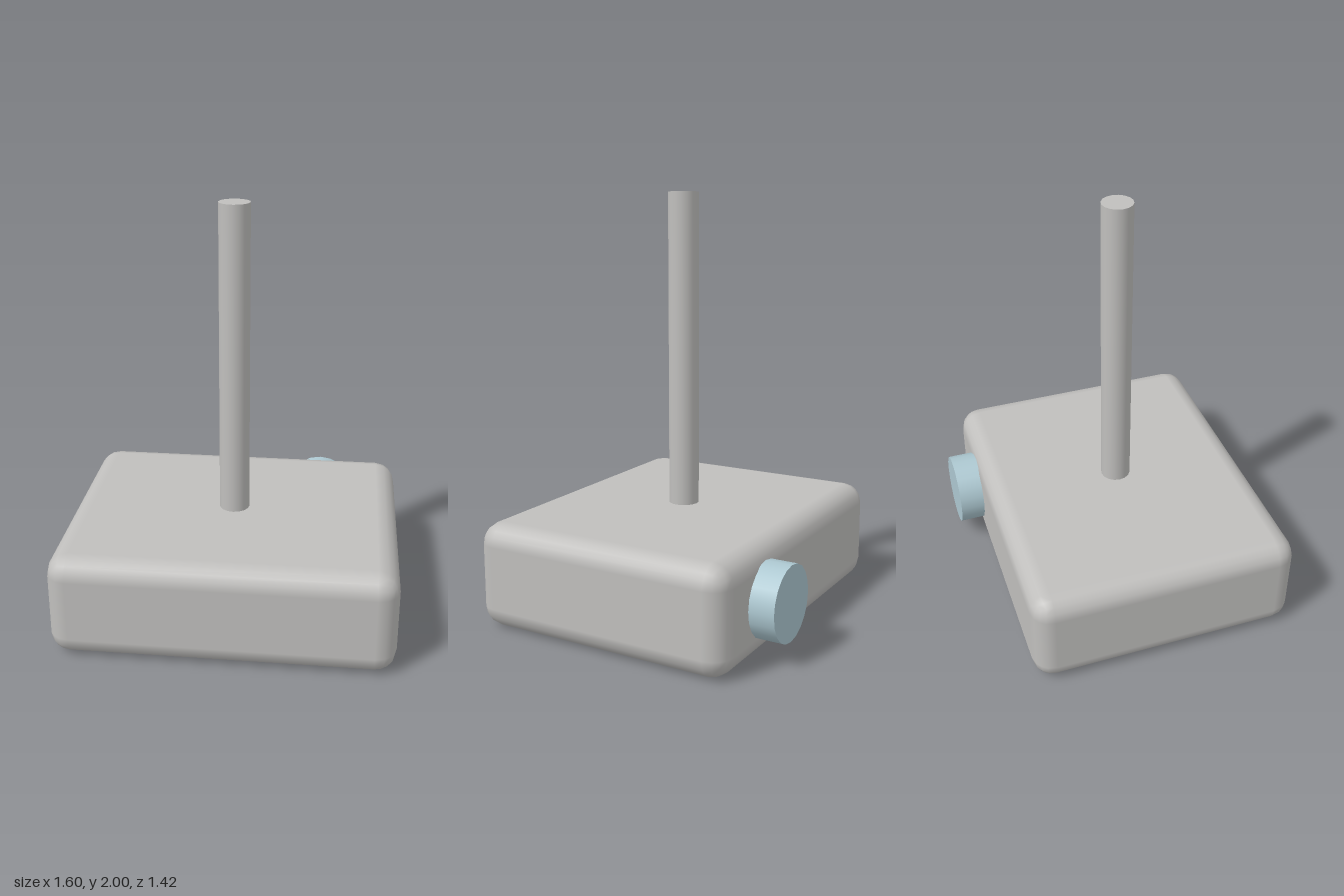
import * as THREE from 'three';
import { RoundedBoxGeometry } from 'three/addons/geometries/RoundedBoxGeometry.js';

export function createModel() {
  const model = new THREE.Group();
  const grey = new THREE.MeshStandardMaterial({ name: 'warmGrey', color: 0xc0bfbd });
  const blue = new THREE.MeshStandardMaterial({ name: 'paleBlue', color: 0xadc8d1 });

  const add = (name, geometry, material, x, y, z) => {
    const mesh = new THREE.Mesh(geometry, material);
    mesh.name = name;
    mesh.position.set(x, y, z);
    model.add(mesh);
    return mesh;
  };

  // Soft-edged body, set forward of the knob
  add('body', new RoundedBoxGeometry(1.6, 0.5, 1.3, 2, 0.1), grey, 0, 0.25, 0.06);

  // Upright rod standing on the body
  add('rod', new THREE.CylinderGeometry(0.073, 0.073, 1.5, 16), grey, 0, 1.25, 0.06);

  // Round knob on the back, sunk a little into the body
  const knob = add('knob', new THREE.CylinderGeometry(0.175, 0.175, 0.17, 20), blue, 0.4, 0.255, -0.625);
  knob.rotation.x = Math.PI / 2;

  return model;
}
